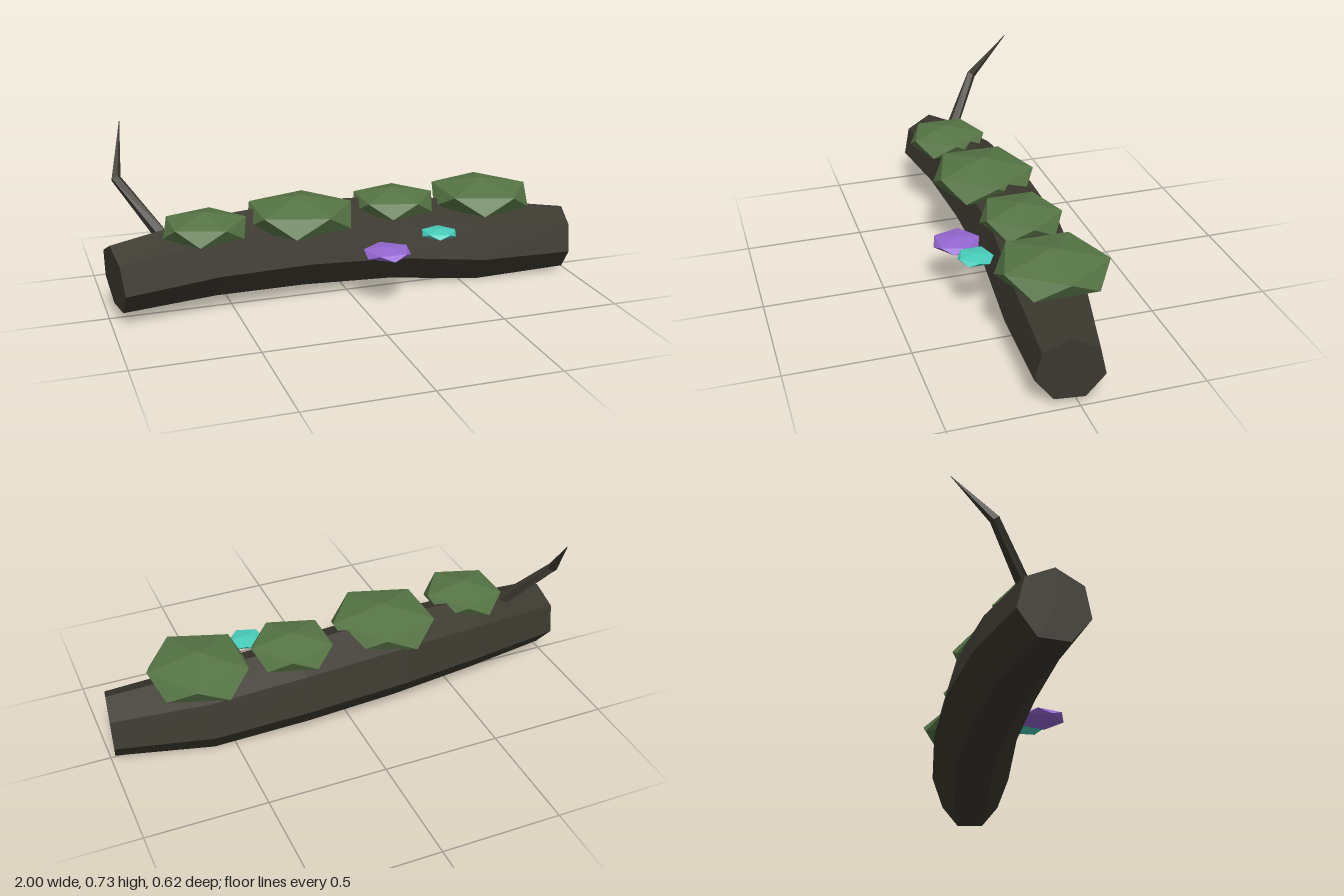
import * as THREE from 'three';

const mat = (name, color) => {
  const m = new THREE.MeshStandardMaterial({ color, flatShading: true });
  m.name = name;
  return m;
};

// Faceted tube with closed ends; each point is [x, y, z, radius]
function facetedTube(points, sides) {
  const centers = points.map(p => new THREE.Vector3(p[0], p[1], p[2]));
  const last = points.length - 1;
  const rings = points.map((p, i) => {
    const t = centers[Math.min(i + 1, last)].clone().sub(centers[Math.max(i - 1, 0)]).normalize();
    const v = new THREE.Vector3().crossVectors(t, new THREE.Vector3(0, 1, 0)).normalize();
    const u = new THREE.Vector3().crossVectors(v, t);
    return Array.from({ length: sides }, (_, j) => {
      const a = (j / sides) * Math.PI * 2;
      return centers[i].clone().addScaledVector(u, p[3] * Math.cos(a)).addScaledVector(v, p[3] * Math.sin(a));
    });
  });
  const tris = [];
  for (let j = 0; j < sides; j++) {
    const k = (j + 1) % sides;
    for (let i = 0; i < last; i++) {
      const a = rings[i], b = rings[i + 1];
      tris.push(a[j], a[k], b[j], a[k], b[k], b[j]);
    }
    tris.push(centers[0], rings[0][k], rings[0][j]);
    tris.push(centers[last], rings[last][j], rings[last][k]);
  }
  const g = new THREE.BufferGeometry().setFromPoints(tris);
  g.computeVertexNormals();
  return g;
}

// Squashed icosahedron standing on a vertex
function clump(name, material, [x, y, z], rx, h, rz, turn = 0) {
  const g = new THREE.IcosahedronGeometry(1, 0);
  g.rotateZ(-Math.atan(2 / (1 + Math.sqrt(5))));
  g.rotateY(turn);
  g.scale(rx, h, rz);
  g.computeVertexNormals();
  const mesh = new THREE.Mesh(g, material);
  mesh.name = name;
  mesh.position.set(x, y, z);
  return mesh;
}

export function createModel() {
  const model = new THREE.Group();
  model.name = 'mossyLog';
  const bark = mat('bark', 0x3b382f);
  const moss = mat('moss', 0x567545);
  const purple = mat('purpleFungus', 0x9568d2);
  const teal = mat('tealFungus', 0x48cdbb);

  // Bowed, seven-sided trunk
  const log = new THREE.Mesh(facetedTube([
    [-0.975, 0.188, 0.041, 0.14],
    [-0.59, 0.219, -0.018, 0.165],
    [-0.2, 0.224, -0.05, 0.18],
    [0.2, 0.205, -0.055, 0.18],
    [0.59, 0.162, -0.02, 0.175],
    [0.98, 0.152, 0.034, 0.135],
  ], 7), bark);
  log.name = 'log';
  model.add(log);

  // Crooked twig near one end
  const twig = new THREE.Mesh(facetedTube([
    [-0.75, 0.3, 0.01, 0.03],
    [-0.922, 0.54, -0.155, 0.021],
    [-0.875, 0.736, -0.309, 0.001],
  ], 5), bark);
  twig.name = 'twig';
  model.add(twig);

  // Moss cushions along the top
  [
    [[-0.61, 0.366, 0.053], 0.188, 0.066, 0.188],
    [[-0.205, 0.362, 0.003], 0.25, 0.084, 0.24],
    [[0.215, 0.367, -0.03], 0.195, 0.066, 0.185],
    [[0.612, 0.363, -0.022], 0.235, 0.077, 0.245],
  ].forEach(([p, rx, h, rz], i) => model.add(clump('mossCushion' + (i + 1), moss, p, rx, h, rz)));

  // Shelf fungi on the front
  model.add(clump('purpleShelfFungus', purple, [0.106, 0.234, 0.21], 0.108, 0.025, 0.108, 0.3));
  model.add(clump('tealShelfFungus', teal, [0.336, 0.287, 0.196], 0.08, 0.019, 0.08));
  return model;
}
